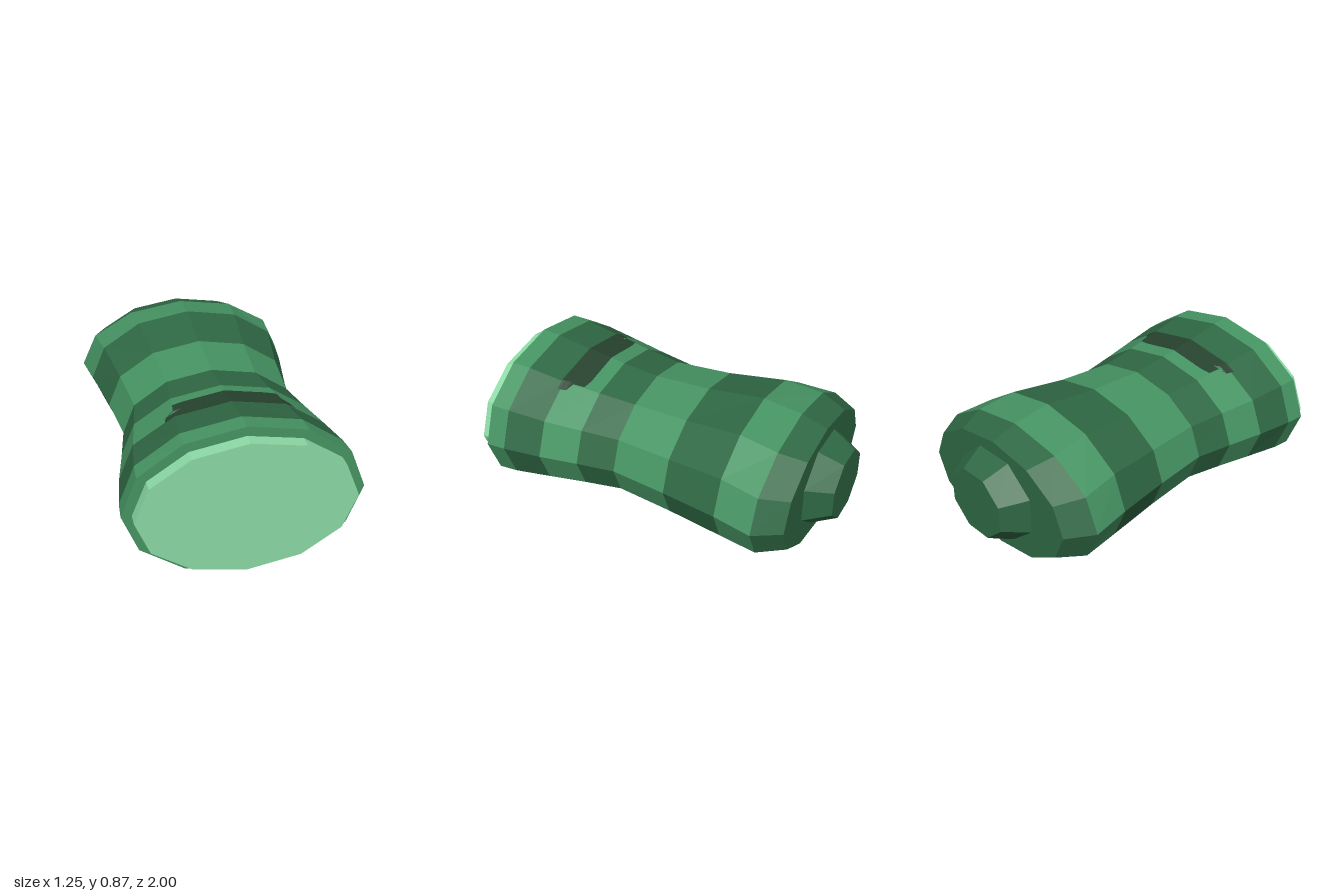
import * as THREE from 'three';

const CY = 0.433;

function material(name, color, side = THREE.FrontSide) {
  const m = new THREE.MeshStandardMaterial({ color, flatShading: true, side });
  m.name = name;
  return m;
}

// Elliptical ring of points facing +z: [z, rx, ry, cy]
function ring([z, rx, ry, cy = CY], sides, phase) {
  return Array.from({ length: sides }, (_, i) => {
    const a = phase + (i / sides) * Math.PI * 2;
    return [rx * Math.cos(a), cy + ry * Math.sin(a), z];
  });
}

function meshFrom(name, pos, mat) {
  const g = new THREE.BufferGeometry();
  g.setAttribute('position', new THREE.Float32BufferAttribute(pos, 3));
  g.computeVertexNormals();
  const mesh = new THREE.Mesh(g, mat);
  mesh.name = name;
  return mesh;
}

// Skin between rings listed front to back, with optional flat caps
function loft(name, sections, sides, mat, { phase = 0, front = false, back = false } = {}) {
  const rings = sections.map((s) => ring(s, sides, phase));
  const pos = [];
  const tri = (a, b, c) => pos.push(...a, ...b, ...c);
  for (let r = 0; r + 1 < rings.length; r++) {
    for (let i = 0; i < sides; i++) {
      const j = (i + 1) % sides;
      const A = rings[r], B = rings[r + 1];
      tri(A[i], B[j], A[j]);
      tri(A[i], B[i], B[j]);
    }
  }
  const last = rings[rings.length - 1];
  for (let i = 1; i + 1 < sides; i++) {
    if (front) tri(rings[0][0], rings[0][i], rings[0][i + 1]);
    if (back) tri(last[0], last[i + 1], last[i]);
  }
  return meshFrom(name, pos, mat);
}

// Waisted body, front to back
const BODY = [
  [0.93, 0.625, 0.433],
  [0.82, 0.618, 0.426],
  [0.6, 0.585, 0.386],
  [0.38, 0.54, 0.36],
  [0.165, 0.5, 0.339],
  [-0.165, 0.535, 0.355],
  [-0.495, 0.592, 0.382, 0.447],
  [-0.715, 0.625, 0.366, 0.435],
  [-0.863, 0.535, 0.32, 0.435],
];

// Height of the body's upper surface above its axis
function surfaceHeight(x, z) {
  let k = 0;
  while (k < BODY.length - 2 && BODY[k + 1][0] > z) k++;
  const t = (BODY[k][0] - z) / (BODY[k][0] - BODY[k + 1][0]);
  const rx = THREE.MathUtils.lerp(BODY[k][1], BODY[k + 1][1], t);
  const ry = THREE.MathUtils.lerp(BODY[k][2], BODY[k + 1][2], t);
  const u = Math.abs(x) / rx;
  return ry * (u < 0.5 ? 1 - u * 0.268 : 1.366 - u);
}

// Thin dark patch lying on the body; sign = 1 for top, -1 for underside
function patch(name, sign, mat) {
  const rows = [[0.613, 0.342], [0.6, 0.338], [0.565, 0.33], [0.54, 0.288], [0.475, 0.278], [0.465, 0.22]];
  const grid = rows.map(([z, w]) =>
    [-1, -0.85, 0, 0.85, 1].map((f) => {
      const x = f * w;
      return [x, CY + sign * (surfaceHeight(x, z) + 0.005), z];
    }));
  const pos = [];
  for (let r = 0; r + 1 < grid.length; r++) {
    for (let i = 0; i < 4; i++) {
      const a = grid[r][i], b = grid[r][i + 1], c = grid[r + 1][i + 1], d = grid[r + 1][i];
      if (sign > 0) pos.push(...a, ...b, ...c, ...a, ...c, ...d);
      else pos.push(...a, ...c, ...b, ...a, ...d, ...c);
    }
  }
  return meshFrom(name, pos, mat);
}

export function createModel() {
  const model = new THREE.Group();
  model.name = 'bandedCapsule';
  const green = material('green', 0x469463);
  const darkGreen = material('dark green', 0x2f6844);
  const paleGreen = material('pale green', 0x8cd9a5);
  const shadowGreen = material('blackish green', 0x27432f, THREE.DoubleSide);

  // Alternating bands
  for (let i = 0; i + 1 < BODY.length; i++) {
    model.add(loft('bodyBand' + (i + 1), [BODY[i], BODY[i + 1]], 12, i % 2 ? darkGreen : green, {
      front: i === 0,
      back: i === BODY.length - 2,
    }));
  }

  // Pale front plate
  model.add(loft('frontPlate', [[1, 0.57, 0.381], [0.925, 0.57, 0.381]], 12, paleGreen, { front: true }));

  // Tapered eight-sided nozzle at the back
  model.add(loft('rearNozzle', [[-0.86, 0.308, 0.265, 0.435], [-1, 0.214, 0.195, 0.435]], 8, darkGreen, {
    phase: Math.PI / 8,
    back: true,
  }));

  // Dark patches on top and underneath
  model.add(patch('topPatch', 1, shadowGreen), patch('bottomPatch', -1, shadowGreen));
  return model;
}
